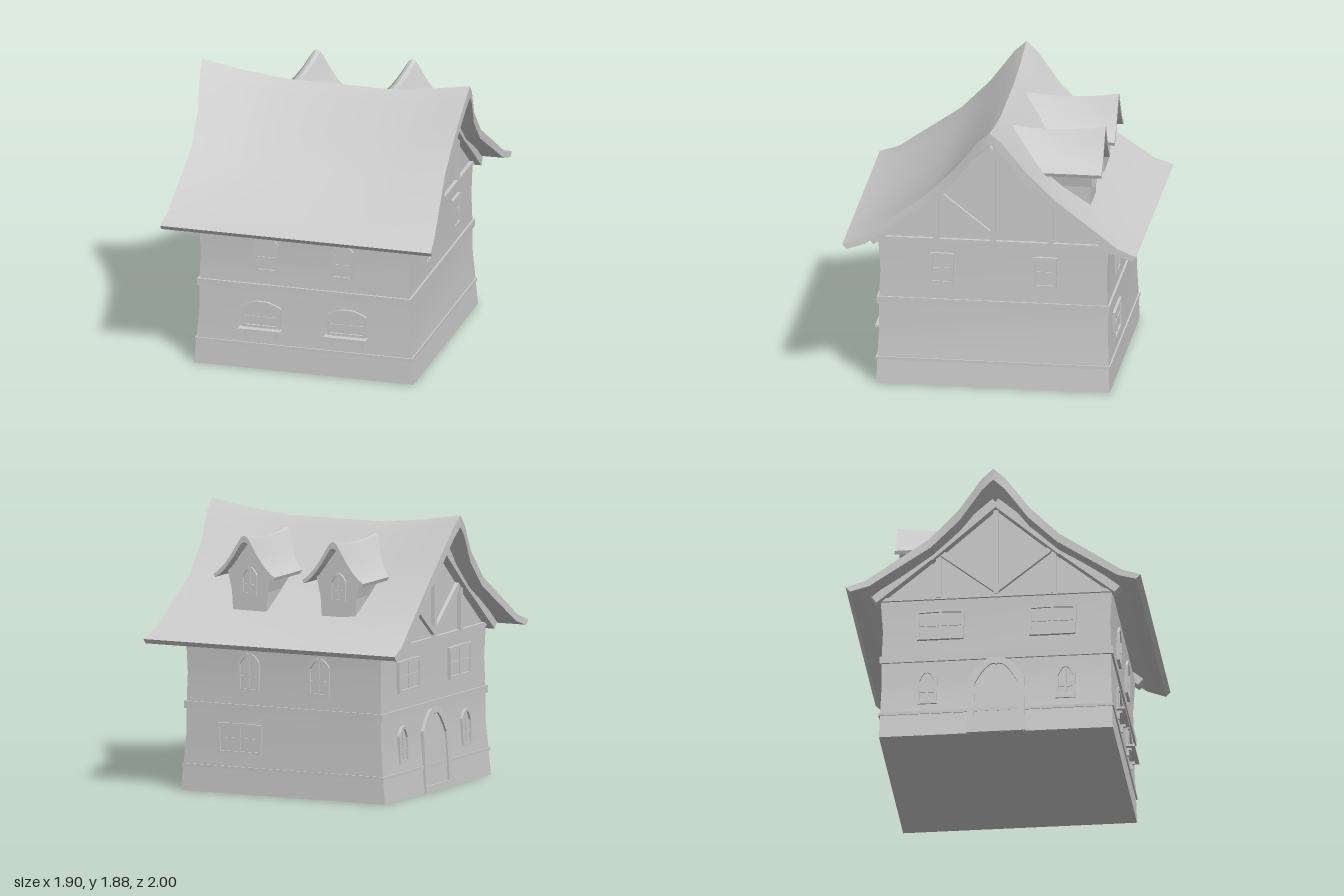
import * as THREE from 'three';
import { toCreasedNormals } from 'three/addons/utils/BufferGeometryUtils.js';

const MAT = new THREE.MeshStandardMaterial({ color: 0xcccccc });

function mesh(name, geo, parent, x = 0, y = 0, z = 0) {
  const m = new THREE.Mesh(geo, MAT);
  m.name = name;
  m.position.set(x, y, z);
  parent.add(m);
  return m;
}
const box = (name, w, h, d, parent, x, y, z) => mesh(name, new THREE.BoxGeometry(w, h, d), parent, x, y, z);

// Piecewise linear lookup
function lookup(keys, vals, t) {
  for (let i = 1; i < keys.length; i++) {
    if (t <= keys[i]) return THREE.MathUtils.lerp(vals[i - 1], vals[i], (t - keys[i - 1]) / (keys[i] - keys[i - 1]));
  }
  return vals[vals.length - 1];
}
const mirrored = (list) => [...list.slice(1).reverse().map((v) => -v), ...list];

// Closed curved slab: place(u, v, isTop) gives each point
function slab(us, vs, place) {
  const nu = us.length - 1, nv = vs.length - 1;
  const g = new THREE.BoxGeometry(1, 1, 1, nu, 1, nv);
  const p = g.attributes.position;
  for (let i = 0; i < p.count; i++) {
    const u = us[Math.round((p.getX(i) + 0.5) * nu)];
    const v = vs[Math.round((p.getZ(i) + 0.5) * nv)];
    p.setXYZ(i, ...place(u, v, p.getY(i) > 0));
  }
  return toCreasedNormals(g, 0.35);
}

// Walls with a flared foot
function wallGeometry() {
  const ys = [0, 0.17, 0.4, 0.6, 0.8, 1.03];
  const hx = [0.77, 0.755, 0.735, 0.735, 0.73, 0.735];
  const hz = [0.793, 0.788, 0.778, 0.778, 0.77, 0.785];
  const n = ys.length - 1;
  const g = new THREE.BoxGeometry(2, 1, 2, 1, n, 1);
  const p = g.attributes.position;
  for (let i = 0; i < p.count; i++) {
    const k = Math.round((p.getY(i) + 0.5) * n);
    p.setXYZ(i, p.getX(i) * hx[k], ys[k], p.getZ(i) * hz[k]);
  }
  return toCreasedNormals(g, 0.35);
}

// Arched outline standing on y = 0, narrower at the foot by the factor taper
function outline(w, h, rise, inset, taper, open, Type) {
  const a = w / 2 - inset, b = open ? 0 : inset, side = h - rise - inset, top = h - inset;
  const s = new Type();
  s.moveTo(-a * taper, b);
  s.lineTo(a * taper, b);
  s.lineTo(a, side);
  s.quadraticCurveTo(a * 0.35, top + rise * 0.3, 0, top);
  s.quadraticCurveTo(-a * 0.35, top + rise * 0.3, -a, side);
  s.lineTo(-a * taper, b);
  return s;
}
function frameGeometry(w, h, rise, t, depth, taper) {
  const s = outline(w, h, rise, 0, taper, false, THREE.Shape);
  s.holes.push(outline(w, h, rise, t, taper, false, THREE.Path));
  return new THREE.ExtrudeGeometry(s, { depth, bevelEnabled: false, curveSegments: 5 });
}

// Framed window with cross bars; its back sits at z = -0.03
function makeWindow(name, w, h, rise, t = 0.02) {
  const g = new THREE.Group();
  g.name = name;
  mesh('windowFrame', frameGeometry(w, h, rise, t, 0.048, 0.95), g, 0, 0, -0.03);
  mesh('windowPane', new THREE.ExtrudeGeometry(outline(w, h, rise, t * 0.5, 0.95, false, THREE.Shape),
    { depth: 0.034, bevelEnabled: false, curveSegments: 5 }), g, 0, 0, -0.03);
  box('mullion', t * 0.8, h - t, 0.03, g, 0, h / 2, -0.002);
  box('crossBar', w - t, t * 0.7, 0.026, g, 0, (h - rise) * 0.5, -0.002);
  return g;
}

// Front, back, left and right faces: u runs along the wall, d is the distance outward
function onWall(parent, angle, item, u, y, d, tilt = 0) {
  const pivot = new THREE.Group();
  pivot.name = item.name + 'Mount';
  pivot.rotation.y = angle;
  item.position.set(u, y, d);
  item.rotation.x = tilt;
  pivot.add(item);
  parent.add(pivot);
}

// Main roof: swept profile, sagging ridge, pinched gable ends
const RZ = [0, 0.08, 0.24, 0.44, 0.87, 1];
function roofGeometry() {
  const top = [1.88, 1.81, 1.6, 1.4, 1.09, 1.043], thick = [0.08, 0.08, 0.075, 0.06, 0.04, 0.033];
  const ends = [0.94, 0.93, 0.9, 0.89, 0.935, 0.948], sag = [0.08, 0.08, 0.075, 0.06, 0.008, 0];
  return slab(mirrored([0, 0.38, 0.7, 1]), mirrored(RZ), (u, z, up) => {
    const a = Math.abs(z), f = lookup([0, 0.38, 0.7, 1], [1, 1, 0.58, 0], Math.abs(u));
    const y = lookup(RZ, top, a) - f * lookup(RZ, sag, a);
    return [u * lookup(RZ, ends, a), up ? y : y - lookup(RZ, thick, a), up ? z : z * 0.97];
  });
}

// Dormer facing -z: walls, arched window and concave saddle roof
function makeDormer() {
  const g = new THREE.Group();
  g.name = 'dormer';
  const s = new THREE.Shape([[-0.125, 1.2], [0.125, 1.2], [0.135, 1.36], [0.165, 1.49], [0.09, 1.585], [0, 1.7],
    [-0.09, 1.585], [-0.165, 1.49], [-0.135, 1.36]].map((q) => new THREE.Vector2(...q)));
  mesh('dormerWalls', new THREE.ExtrudeGeometry(s, { depth: 0.42, bevelEnabled: false }), g, 0, 0, -0.625);
  onWall(g, Math.PI, makeWindow('dormerWindow', 0.12, 0.19, 0.05, 0.016), 0, 1.335, 0.625);
  const px = [0, 0.025, 0.06, 0.1, 0.15, 0.2, 0.23], py = [1.75, 1.737, 1.68, 1.615, 1.547, 1.497, 1.478];
  const zs = [-0.71, -0.6, -0.48, -0.35, -0.2, -0.06], dip = [0, -0.018, -0.03, -0.036, -0.03, -0.015];
  mesh('dormerRoof', slab(mirrored(px), zs, (x, z, up) => {
    const a = Math.abs(x);
    const y = lookup(px, py, a) + lookup(zs, dip, z) * (1 - a / 0.23);
    return [up ? x : x * 0.96, up ? y : y - 0.045 + a * 0.09, z];
  }), g);
  return g;
}

// Timber on the gable between two (z, y) points
function timber(parent, name, [z1, y1], [z2, y2], width, x, depth) {
  const m = box(name, depth, Math.hypot(z2 - z1, y2 - y1), width, parent, x, (y1 + y2) / 2, (z1 + z2) / 2);
  m.rotation.x = Math.atan2(z2 - z1, y2 - y1);
}

export function createModel() {
  const house = new THREE.Group();
  house.name = 'house';
  const FRONT = 0, BACK = Math.PI, LEFT = Math.PI / 2, RIGHT = -Math.PI / 2;

  // Walls, gable block and belts
  mesh('walls', wallGeometry(), house);
  const gable = new THREE.Shape([[-0.78, 1.02], [0.78, 1.02], [0.44, 1.31], [0.2, 1.53], [0, 1.74],
    [-0.2, 1.53], [-0.44, 1.31]].map((q) => new THREE.Vector2(...q)));
  const gableGeo = new THREE.ExtrudeGeometry(gable, { depth: 1.45, bevelEnabled: false });
  mesh('gableWalls', gableGeo.translate(0, 0, -0.725).rotateY(Math.PI / 2), house);
  box('plinthTrim', 1.525, 0.02, 1.596, house, 0, 0.175, 0);
  box('floorBelt', 1.497, 0.05, 1.585, house, 0, 0.585, 0);
  mesh('roof', roofGeometry(), house);

  // Gable timber framing on both ends
  for (const sx of [-1, 1]) {
    const frame = new THREE.Group();
    frame.name = 'gableTimbers';
    house.add(frame);
    box('tieBeam', 0.04, 0.025, 1.57, frame, sx * 0.73, 1.03, 0);
    box('kingPost', 0.05, 0.62, 0.035, frame, sx * 0.73, 1.35, 0);
    for (const sz of [-1, 1]) {
      timber(frame, 'rafter', [0, 1.705], [sz * 0.45, 1.315], 0.06, sx * 0.745, 0.09);
      timber(frame, 'rafterFoot', [sz * 0.43, 1.333], [sz * 0.825, 1.015], 0.055, sx * 0.745, 0.09);
      box('sidePost', 0.05, 0.3, 0.035, frame, sx * 0.73, 1.18, sz * 0.39);
      timber(frame, 'brace', [0, 1.07], [sz * 0.37, 1.36], 0.04, sx * 0.73, 0.044);
    }
  }

  for (const s of [-1, 1]) {
    // Front: arched windows above, wide windows with sills below
    onWall(house, FRONT, makeWindow('frontUpperWindow', 0.165, 0.26, 0.055), s * 0.265, 0.7, 0.774);
    const wide = makeWindow('frontLowerWindow', 0.28, 0.19, 0.04);
    box('sill', 0.3, 0.016, 0.09, wide, 0, -0.005, 0.02);
    for (const b of [-1, 1]) {
      box('sillBracket', 0.02, 0.05, 0.03, wide, b * 0.11, -0.045, 0.008);
      box('bracketCap', 0.022, 0.02, 0.05, wide, b * 0.11, -0.02, 0.015);
    }
    onWall(house, FRONT, wide, s * 0.3, 0.295, 0.778);
    // Back and gable ends
    onWall(house, BACK, makeWindow('backUpperWindow', 0.165, 0.26, 0.055), s * 0.265, 0.7, 0.774);
    onWall(house, LEFT, makeWindow('leftWindow', 0.165, 0.22, 0.004), s * 0.35, 0.72, 0.736);
    onWall(house, RIGHT, makeWindow('rightUpperWindow', 0.33, 0.22, 0.004), s * 0.38, 0.72, 0.736);
    onWall(house, RIGHT, makeWindow('rightLowerWindow', 0.14, 0.25, 0.06), s * 0.47, 0.24, 0.742, -0.03);
    // Dormers
    const dormer = makeDormer();
    dormer.position.x = s * 0.335;
    house.add(dormer);
  }
  onWall(house, BACK, makeWindow('backLowerWindow', 0.34, 0.21, 0.004), -0.33, 0.27, 0.779);

  // Arched door
  const door = new THREE.Group();
  door.name = 'door';
  const arch = outline(0.38, 0.56, 0.14, 0, 1.05, true, THREE.Shape);
  arch.holes.push(outline(0.38, 0.56, 0.14, 0.045, 1.05, false, THREE.Path));
  mesh('doorFrame', new THREE.ExtrudeGeometry(arch, { depth: 0.05, bevelEnabled: false, curveSegments: 6 }), door, 0, 0, -0.03);
  mesh('doorLeaf', new THREE.ExtrudeGeometry(outline(0.38, 0.56, 0.14, 0.02, 1.05, true, THREE.Shape),
    { depth: 0.036, bevelEnabled: false, curveSegments: 6 }), door, 0, 0, -0.03);
  onWall(house, RIGHT, door, 0, 0, 0.765, -0.06);

  return house;
}
